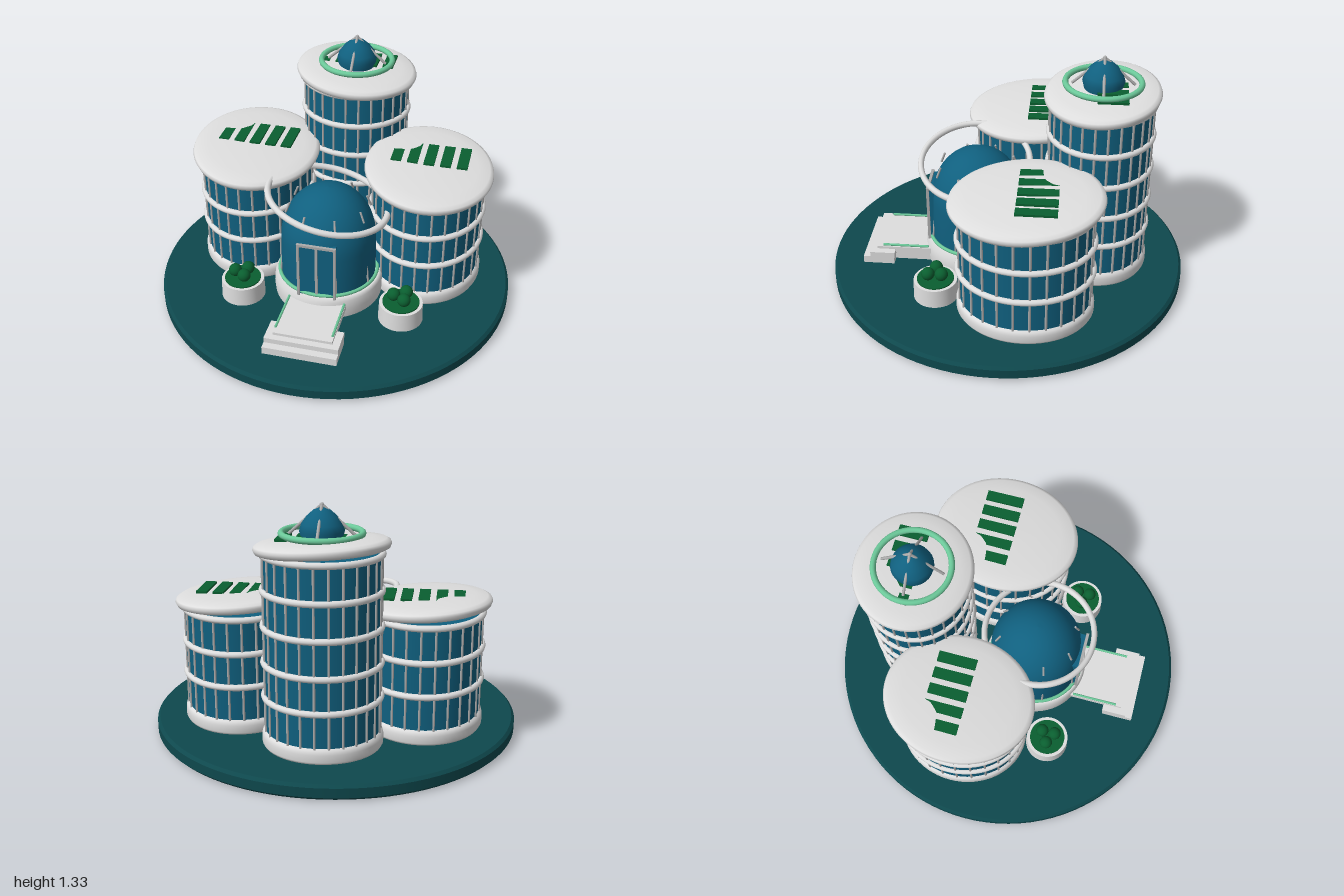
import * as THREE from 'three';

const paint = (name, color) => {
  const m = new THREE.MeshStandardMaterial({ color });
  m.name = name;
  return m;
};
const ground = paint('deep teal', 0x0e484d);
const glass = paint('blue glass', 0x10607f);
const white = paint('white', 0xdedede);
const metal = paint('grey metal', 0xacacac);
const mint = paint('mint', 0x6cc99a);
const green = paint('dark green', 0x0a5f30);

function add(parent, name, geo, mat, x = 0, y = 0, z = 0) {
  const mesh = new THREE.Mesh(geo, mat);
  mesh.name = name;
  mesh.position.set(x, y, z);
  parent.add(mesh);
  return mesh;
}

const lathe = (pts, seg = 64) =>
  new THREE.LatheGeometry(pts.map(([x, y]) => new THREE.Vector2(x, y)), seg);

// Horizontal ring stretched to an ellipse
const hoop = (rx, rz, tube) =>
  new THREE.TorusGeometry(1, tube / rx, 10, 72).rotateX(Math.PI / 2).scale(rx, rx, rz);

// Round bar between two points
function bar(parent, name, a, b, r, mat) {
  const from = new THREE.Vector3(...a), to = new THREE.Vector3(...b);
  const dir = to.clone().sub(from);
  const mesh = add(parent, name, new THREE.CylinderGeometry(r, r, dir.length(), 8), mat);
  mesh.position.copy(from).lerp(to, 0.5);
  mesh.quaternion.setFromUnitVectors(new THREE.Vector3(0, 1, 0), dir.normalize());
  return mesh;
}

// Oval glass tower with mullions, floor rings, tilted roof and roof panels
function tower(name, x, z, rx, rz, roofX, roofZ, top, floors, panelY) {
  const g = new THREE.Group();
  g.name = name;
  g.position.set(x, 0, z);
  const h = top - 0.08;
  add(g, 'towerGlass', new THREE.CylinderGeometry(1, 1, h, 64).scale(rx, 1, rz), glass, 0, 0.08 + h / 2);
  const foot = lathe([[0.9, 0], [1, 0], [1.02, 0.012], [1.02, 0.05], [1, 0.072], [0.95, 0.08]]);
  add(g, 'towerFoot', foot.scale(rx + 0.012, 1, rz + 0.012), white, 0, 0.08);
  for (const y of floors) add(g, 'floorRing', hoop(rx + 0.004, rz + 0.004, 0.017), white, 0, y);
  for (let i = 0; i < 26; i++) {
    const a = (i / 26) * Math.PI * 2;
    add(g, 'mullion', new THREE.CylinderGeometry(0.007, 0.007, h, 6), metal,
      Math.sin(a) * (rx + 0.002), 0.08 + h / 2, Math.cos(a) * (rz + 0.002));
  }
  const roof = lathe([[0, -0.028], [0.92, -0.028], [0.975, -0.02], [1, 0], [0.985, 0.015],
    [0.93, 0.026], [0.75, 0.035], [0.4, 0.043], [0, 0.046]], 72).scale(roofX, 1, roofZ);
  add(g, 'roof', roof, white, 0, top + 0.025).rotation.set(0.06, 0, -0.065);
  return { g, panelY };
}

function roofPanels(g, y, z, depth) {
  for (let i = -2; i <= 2; i++)
    add(g, 'roofPanel', new THREE.BoxGeometry(0.058, 0.012, depth), green, i * 0.091, y, z);
}

export function createModel() {
  const model = new THREE.Group();
  model.name = 'building';

  // Round bevelled ground plate
  add(model, 'groundPlate', new THREE.CylinderGeometry(1, 1, 0.05, 96, 1, true), ground, 0, 0.04);
  add(model, 'groundTop', new THREE.CylinderGeometry(0.985, 1, 0.015, 96), ground, 0, 0.0725);
  add(model, 'groundBottom', new THREE.CylinderGeometry(1, 0.985, 0.015, 96), ground, 0, 0.0075);

  // Two side towers and the tall rear tower
  for (const s of [-1, 1]) {
    const t = tower(s < 0 ? 'rightTower' : 'leftTower', s * 0.495, -0.135, 0.305, 0.35,
      0.355, 0.405, 0.72, [0.34, 0.52, 0.705]);
    roofPanels(t.g, 0.795, -0.06, 0.21);
    model.add(t.g);
  }
  const rear = tower('rearTower', 0, -0.5, 0.295, 0.275, 0.342, 0.31, 1.09,
    [0.34, 0.52, 0.71, 0.895, 1.08]).g;
  roofPanels(rear, 1.162, -0.05, 0.16);
  model.add(rear);

  // Crown on the rear tower: ring, pointed skylight and four struts
  add(rear, 'crownRing', hoop(0.2, 0.2, 0.016), mint, 0, 1.178);
  add(rear, 'skylight', lathe([[0.1, 1.14], [0.112, 1.19], [0.102, 1.225], [0.075, 1.262],
    [0.04, 1.293], [0, 1.31]], 32), glass);
  for (let i = 0; i < 4; i++) {
    const a = (i * Math.PI) / 2;
    bar(rear, 'skylightStrut', [Math.sin(a) * 0.165, 1.17, Math.cos(a) * 0.165], [0, 1.318, 0], 0.008, metal);
  }
  add(rear, 'skylightTip', new THREE.SphereGeometry(0.011, 12, 8), metal, 0, 1.317);

  // Domed entrance hall
  const hall = new THREE.Group();
  hall.name = 'entranceHall';
  hall.position.z = 0.17;
  model.add(hall);
  add(hall, 'hallPlinth', lathe([[0.3, 0.08], [0.305, 0.13], [0.3, 0.185], [0.285, 0.205], [0, 0.205]]), white);
  add(hall, 'hallTrim', hoop(0.274, 0.274, 0.01), mint, 0, 0.215);
  const profile = [[0.262, 0.2], [0.264, 0.33], [0.261, 0.43]];
  for (let i = 1; i <= 12; i++) {
    const a = (i / 12) * Math.PI / 2;
    profile.push([0.261 * Math.cos(a), 0.43 + 0.31 * Math.sin(a)]);
  }
  add(hall, 'hallDome', lathe(profile), glass);

  // Short ribs showing through the dome
  for (let i = 0; i < 8; i++) {
    const a = ((i + 0.5) / 8) * Math.PI * 2, s = Math.sin(a), c = Math.cos(a);
    bar(hall, 'lowerRib', [s * 0.27, 0.2, c * 0.27], [s * 0.257, 0.34, c * 0.257], 0.006, metal);
    bar(hall, 'upperRib', [s * 0.234, 0.6, c * 0.234], [s * 0.21, 0.66, c * 0.21], 0.006, metal);
  }

  // Tilted halo around the dome
  add(hall, 'halo', hoop(0.33, 0.302, 0.018), white, 0, 0.667, 0.01).rotation.z = -0.19;

  // Double door
  add(hall, 'doorGlass', new THREE.BoxGeometry(0.2, 0.32, 0.07), glass, 0, 0.365, 0.232);
  for (const x of [-0.1, 0, 0.1])
    add(hall, 'doorPost', new THREE.BoxGeometry(0.014, 0.33, 0.016), metal, x, 0.365, 0.27);
  add(hall, 'doorHeader', new THREE.BoxGeometry(0.214, 0.014, 0.016), metal, 0, 0.53, 0.27);

  // Walkway with steps and mint edging
  add(model, 'walkway', new THREE.BoxGeometry(0.32, 0.035, 0.31), white, 0, 0.15, 0.58);
  add(model, 'walkwayBase', new THREE.BoxGeometry(0.29, 0.06, 0.28), white, 0, 0.108, 0.56);
  add(model, 'upperStep', new THREE.BoxGeometry(0.4, 0.03, 0.14), white, 0, 0.137, 0.7);
  add(model, 'lowerStep', new THREE.BoxGeometry(0.4, 0.045, 0.175), white, 0, 0.1, 0.722);
  for (const s of [-1, 1])
    bar(model, 'walkwayEdging', [s * 0.154, 0.178, 0.44], [s * 0.154, 0.178, 0.7], 0.007, mint);

  // Round planters with three shrubs each
  for (const s of [-1, 1]) {
    const p = new THREE.Group();
    p.name = 'planter';
    p.position.set(s * 0.448, 0, 0.355);
    model.add(p);
    add(p, 'planterPot', new THREE.CylinderGeometry(0.118, 0.122, 0.105, 40), white, 0, 0.1325);
    add(p, 'planting', new THREE.CylinderGeometry(0.1, 0.1, 0.008, 40), green, 0, 0.188);
    for (let i = 0; i < 3; i++) {
      const a = (i / 3) * Math.PI * 2;
      add(p, 'shrub', new THREE.SphereGeometry(0.036, 20, 14), green, -Math.cos(a) * 0.042, 0.23, Math.sin(a) * 0.042);
    }
  }
  return model;
}
